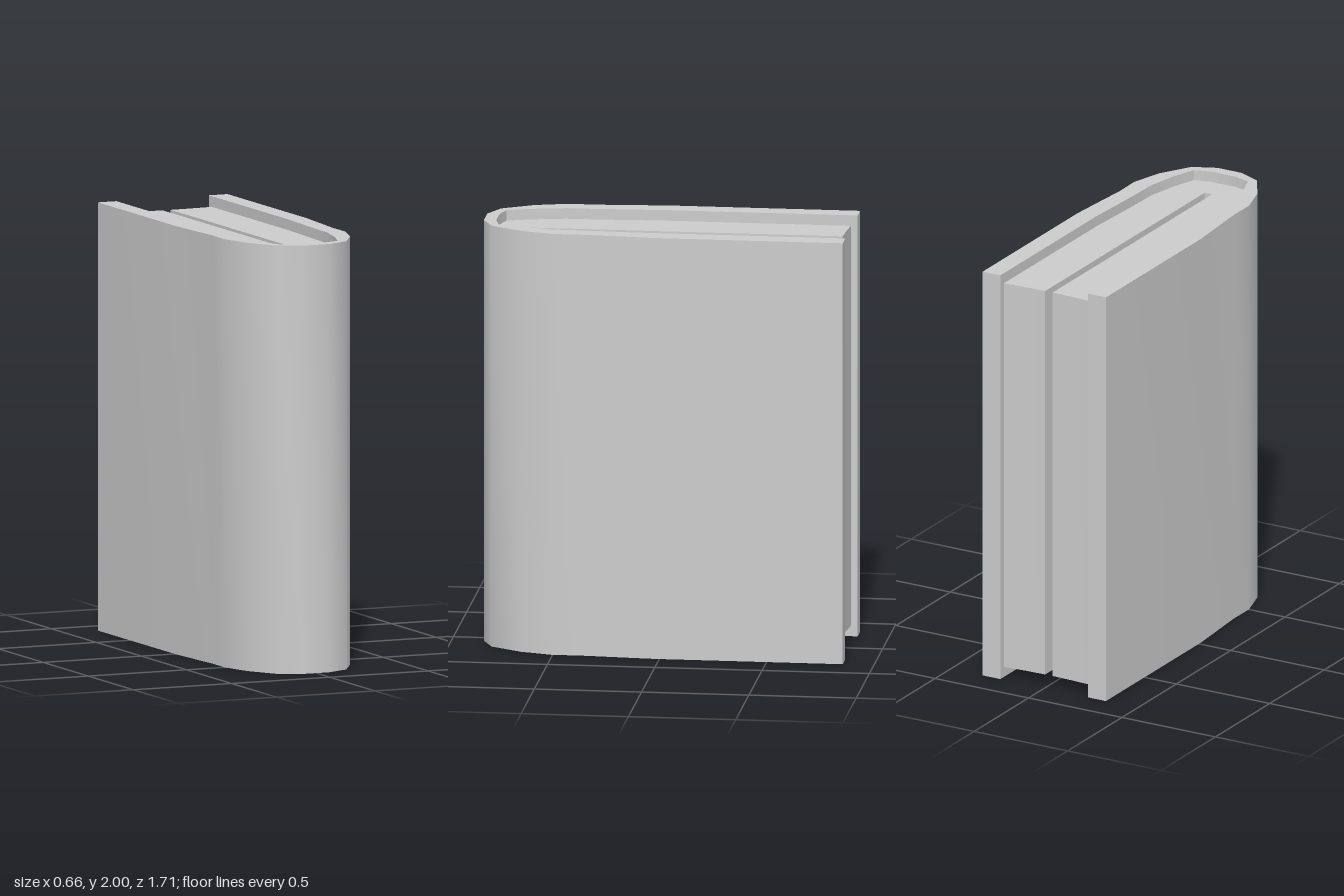
import * as THREE from 'three';
import { toCreasedNormals } from 'three/addons/utils/BufferGeometryUtils.js';

const HEIGHT = 2;
const RECESS = 0.05; // pages sit below the cover's top and bottom edges

// Half outlines as [x, z], from the open back edge round to the spine
const coverOuter = [[0.33, -0.855], [0.33, 0.02], [0.305, 0.37], [0.307, 0.5], [0.262, 0.655], [0.175, 0.8], [0.065, 0.85]];
const innerCurve = [[0.235, 0.02], [0.22, 0.35], [0.217, 0.5], [0.185, 0.655], [0.145, 0.77], [0.065, 0.792]];
const coverInner = [[0.235, -0.855], ...innerCurve];
const pagesOuter = [[0.02, -0.812], [0.12, -0.815], [0.235, -0.823], ...innerCurve];
const pagesSlot = [[0.02, -0.812], [0.02, 0.655]];

// Full U-shaped line: right half, then its mirror image back to the open edge
const mirrorLine = (half) => [...half, ...half.map(([x, z]) => [-x, z]).reverse()];

// Upright prism between an outer and an inner U-shaped line
function uPrism(name, outer, inner, y0, y1, material) {
  const outline = [...mirrorLine(outer), ...mirrorLine(inner).reverse()]
    .map(([x, z]) => new THREE.Vector2(x, -z))
    .filter((p, i, all) => !p.equals(all[(i + 1) % all.length]));
  const geometry = new THREE.ExtrudeGeometry(new THREE.Shape(outline), { depth: y1 - y0, bevelEnabled: false });
  geometry.rotateX(-Math.PI / 2).translate(0, y0, 0);
  const mesh = new THREE.Mesh(toCreasedNormals(geometry, THREE.MathUtils.degToRad(40)), material);
  mesh.name = name;
  return mesh;
}

export function createModel() {
  const book = new THREE.Group();
  book.name = 'book';
  const material = new THREE.MeshStandardMaterial({ color: 0xcccccc });

  // Cover with rounded spine, and the page block split by a narrow slot
  book.add(uPrism('cover', coverOuter, coverInner, 0, HEIGHT, material));
  book.add(uPrism('pages', pagesOuter, pagesSlot, RECESS, HEIGHT - RECESS, material));
  return book;
}
